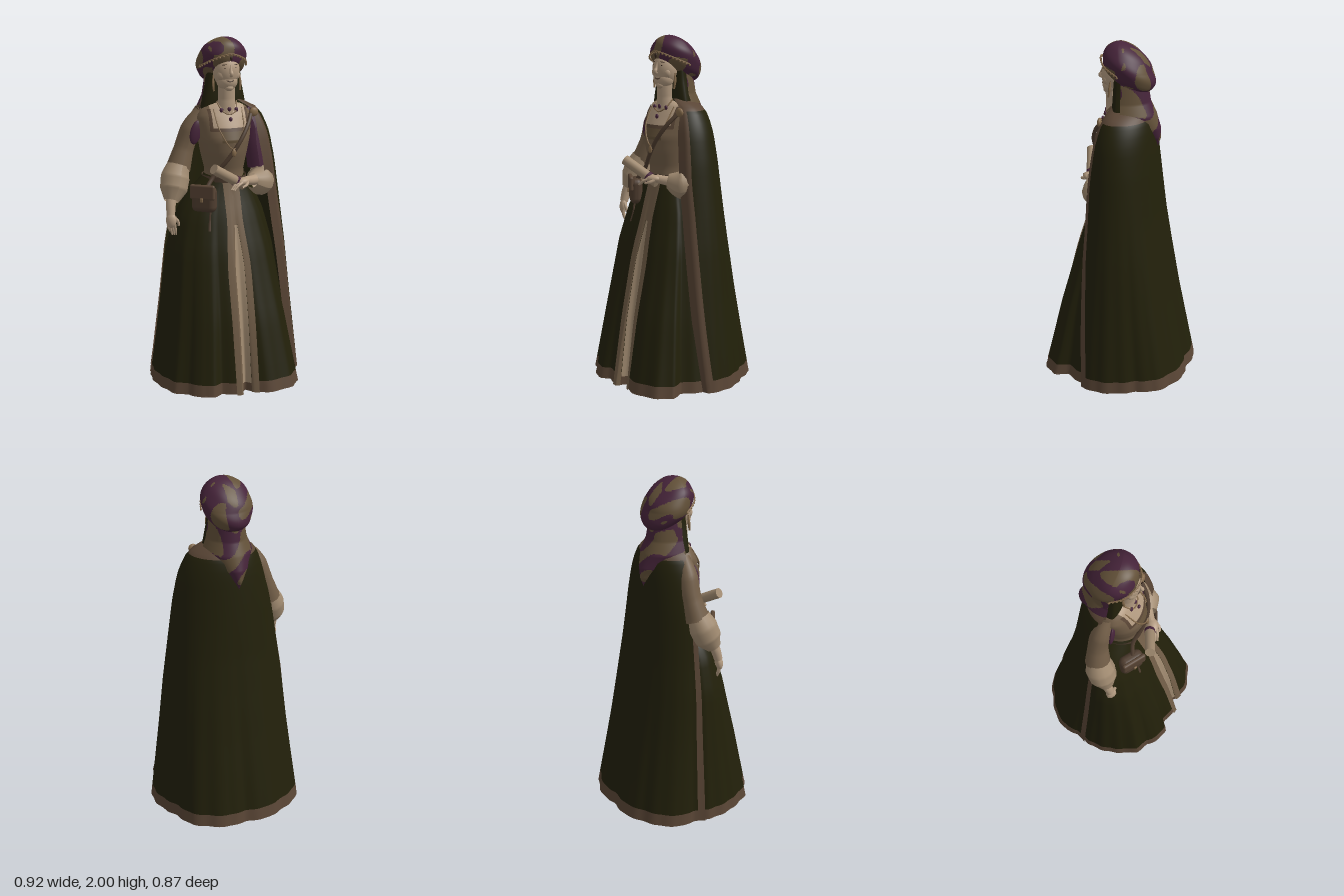
import * as THREE from 'three';
import { RoundedBoxGeometry } from 'three/addons/geometries/RoundedBoxGeometry.js';

const COLORS = {
  greenCloth: 0x22200a, brownTrim: 0x594535, bodiceCloth: 0x715d47, skin: 0xb29a80, creamLinen: 0xa08a70,
  purpleCloth: 0x46243a, oliveBrocade: 0x625038, leather: 0x4f3d2f, darkDetail: 0x33241c, gold: 0x83694a,
};
const M = {};
for (const [name, color] of Object.entries(COLORS)) {
  M[name] = new THREE.MeshStandardMaterial({ color, side: THREE.DoubleSide });
  M[name].name = name;
}
const V = (a) => new THREE.Vector3(...a);
const DEG = Math.PI / 180;
const clamp = THREE.MathUtils.clamp;
const span = (a, b, n) => Array.from({ length: n + 1 }, (_, i) => a + (b - a) * i / n);

// Row of a table, interpolated on its first column
function rowAt(table, y) {
  let i = 0;
  while (i < table.length - 2 && y > table[i + 1][0]) i++;
  const k = clamp((y - table[i][0]) / (table[i + 1][0] - table[i][0]), 0, 1);
  return table[i].map((v, j) => v + (table[i + 1][j] - v) * k);
}

// Body shell from [y, left, right, front, back] rows: (angle, height, offset) -> point; 0 is +x, 270 is the front
function shell(table, fold = () => 0) {
  const at = (deg, y, off = 0) => {
    const [, l, r, f, b] = rowAt(table, y), c = Math.cos(deg * DEG), s = -Math.sin(deg * DEG);
    const k = 1 + fold(deg, y);
    return [c * ((c > 0 ? l : r) * k + off), y, s * ((s > 0 ? f : b) * k + off)];
  };
  at.table = table;
  return at;
}

// Surface through point(u, v), coloured face by face
function grid(name, us, vs, point, mats, pick = () => 0) {
  const pos = [], faces = mats.map(() => []), w = us.length;
  for (const v of vs) for (const u of us) pos.push(...point(u, v));
  for (let j = 0; j < vs.length - 1; j++) for (let i = 0; i < w - 1; i++) {
    const a = j * w + i, d = a + w;
    faces[pick((us[i] + us[i + 1]) / 2, (vs[j] + vs[j + 1]) / 2)].push(a, a + 1, d + 1, a, d + 1, d);
  }
  const g = new THREE.BufferGeometry();
  g.setAttribute('position', new THREE.Float32BufferAttribute(pos, 3));
  g.setIndex(faces.flat());
  let start = 0;
  faces.forEach((f, i) => { g.addGroup(start, f.length, i); start += f.length; });
  g.computeVertexNormals();
  return named(new THREE.Mesh(g, mats), name);
}
const named = (o, name) => { o.name = name; return o; };

// Thin panel lying on the front of a shell between two x limits
function panel(name, at, mat, x0, x1, y0, y1, off = 0.007) {
  return grid(name, span(0, 1, 10), span(y0, y1, 16), (u, y) => {
    const [, l, r] = rowAt(at.table, y), x = x0(y) + (x1(y) - x0(y)) * u;
    return at(270 + Math.asin(clamp(x / (x > 0 ? l : r), -0.97, 0.97)) / DEG, y, off);
  }, [mat]);
}

// Tube whose radius changes along its path
function limb(name, mat, pts, radii, sides = 14) {
  const curve = new THREE.CatmullRomCurve3(pts.map(V)), n = 24;
  const g = new THREE.TubeGeometry(curve, n, 1, sides), p = g.attributes.position, v = new THREE.Vector3();
  const steps = radii.map((r, i) => [i / Math.max(1, radii.length - 1), r]);
  for (let i = 0; i <= n; i++) {
    const c = curve.getPointAt(i / n), r = steps.length > 1 ? rowAt(steps, i / n)[1] : radii[0];
    for (let j = 0; j <= sides; j++) {
      const q = i * (sides + 1) + j;
      v.fromBufferAttribute(p, q).sub(c).multiplyScalar(r).add(c);
      p.setXYZ(q, v.x, v.y, v.z);
    }
  }
  g.computeVertexNormals();
  return named(new THREE.Mesh(g, mat), name);
}

function ball(name, mat, at, scale, rot = [0, 0, 0]) {
  const m = named(new THREE.Mesh(new THREE.SphereGeometry(1, 24, 16), mat), name);
  m.position.set(...at); m.scale.set(...scale); m.rotation.set(...rot);
  return m;
}

// Uneven folds of the hem: angle and radius factor
const FOLDS = [[0, 1.01], [13, .99], [28, .975], [44, 1.06], [54, 1.05], [69, 1.05], [84, .98], [102, 1.04], [115, 1.025], [133, 1.045],
  [147, 1.015], [156, .94], [169, .98], [187, 1], [203, 1.02], [215, 1.06], [225, 1.01], [235, 1.05], [245, 1.02], [249, .92], [259, .945],
  [265, .98], [268, .86], [270, .83], [272, .86], [275, .93], [284, 1.06], [305, 1.16], [317, 1.13], [322, .96], [342, .995], [360, 1.01]];
const folds = (a, y) => Math.max(0, 1 - y / 1.2) * (rowAt(FOLDS, (a + 360) % 360)[1] - 1 + .007 * Math.sin(a * DEG * 24));

// Broad swirls of the brocade
const swirl = ([x, y, z]) => (Math.sin(32 * (x + .4 * z) + 3 * Math.sin(19 * y - 9 * z))
  + Math.sin(26 * z + 17 * y - 10 * x + 2.5 * Math.sin(27 * x + 8 * y)) > -.1 ? 1 : 0);

export function createModel() {
  const model = named(new THREE.Group(), 'robedWoman');
  const add = (...o) => model.add(...o);

  // Pleated skirt with hem band and underside
  const skirt = shell([[0, .42, .455, .42, .4], [.4, .36, .4, .34, .3], [.8, .29, .352, .24, .22],
    [1, .235, .298, .18, .17], [1.12, .18, .22, .14, .13], [1.22, .115, .115, .115, .1]], folds);
  const round = span(90, 450, 240);
  add(grid('skirt', round, [0, .035, .065, ...span(.15, 1.22, 20)], skirt, [M.greenCloth, M.brownTrim], (a, y) => (y < .065 ? 1 : 0)));
  add(grid('skirtUnderside', round, [1, .96, .6, .03], (a, k) => {
    const p = skirt(a, 0);
    return [p[0] * k, 0.004 + 0.12 * (1 - k), p[2] * k];
  }, [M.greenCloth, M.brownTrim], (a, k) => (k > .96 ? 1 : 0)));
  const open = (y) => .006 + .022 * clamp((.97 - y) / .25, 0, 1);
  add(panel('underskirtPanel', skirt, M.creamLinen, (y) => -open(y), open, .05, .97));
  add(panel('skirtTrimRight', skirt, M.bodiceCloth, (y) => -open(y) - .045, (y) => -open(y), .0, 1.2, .009));
  add(panel('skirtTrimLeft', skirt, M.bodiceCloth, open, (y) => open(y) + .036, .0, 1.2, .009));
  add(panel('skirtYoke', skirt, M.bodiceCloth, () => -.012, () => .012, .95, 1.2, .009));

  // Bodice with square neckline
  const torso = shell([[1.17, .115, .115, .125, .1], [1.25, .112, .115, .125, .1], [1.35, .132, .14, .148, .11],
    [1.43, .15, .155, .153, .115], [1.5, .16, .16, .125, .12], [1.56, .165, .165, .095, .12],
    [1.61, .125, .125, .07, .11], [1.645, .05, .05, .05, .07]]);
  add(grid('bodice', span(90, 450, 64), span(1.17, 1.645, 24), torso, [M.bodiceCloth]));
  add(panel('chest', torso, M.skin, () => -.1, () => .1, 1.495, 1.64, .005));
  add(panel('necklineTrim', torso, M.brownTrim, () => -.11, () => .11, 1.478, 1.497, .007));
  add(panel('bodiceInsert', torso, M.oliveBrocade, () => -.06, () => .06, 1.415, 1.478, .004));
  for (const s of [-1, 1]) add(panel('neckEdge', torso, M.brownTrim, () => s * .105 - .008, () => s * .105 + .008, 1.48, 1.6, .007));
  add(grid('belt', span(90, 450, 64), [1.185, 1.2, 1.215], (a, y) => torso(a, y, .014), [M.leather]));

  // Cape: its left edge turns inward at the front, its right side hangs behind the arm
  const cape = shell([[0, .455, .462, .43, .43], [.5, .4, .395, .34, .335], [.8, .37, .36, .29, .285], [1, .345, .325, .25, .255],
    [1.3, .305, .275, .21, .222], [1.45, .275, .235, .18, .205], [1.55, .235, .2, .14, .19], [1.6, .19, .165, .1, .165],
    [1.645, .1, .1, .06, .12]], folds);
  const rim = (y) => -18 - 18 * clamp(y / 1.2, 0, 1);
  const capePoint = (u, y) => {
    const p = cape(rim(y) + (166 - rim(y)) * Math.max(u, 0), y), w = Math.max(0, -u);
    return [p[0] - w * clamp((1.66 - y) / .2, .3, 1), y, p[2] + w * .15];
  };
  add(grid('cape', [-.055, -.03, -.012, 0, .014, ...span(.028, .968, 90), .985, 1], [0, .035, .07, ...span(.14, 1.56, 30), 1.58, 1.6, 1.62, 1.645], capePoint,
    [M.greenCloth, M.brownTrim], (u, y) => (u < .028 || u > .968 || y < .07 || y > 1.58 ? 1 : 0)));

  // Patterned hood hanging down the back
  const hood = shell([[1.41, .01, .01, 0, .21], [1.46, .06, .06, 0, .228], [1.52, .11, .11, 0, .226], [1.6, .15, .15, 0, .198],
    [1.67, .12, .12, 0, .165], [1.8, .1, .1, 0, .145]]);
  add(grid('hood', span(8, 172, 90), span(1.41, 1.8, 60), hood, [M.oliveBrocade, M.purpleCloth, M.brownTrim],
    (a, y) => (y < 1.6 && Math.abs(a - 90) > 62 ? 2 : swirl(hood(a, y)))));

  // Veil beside the neck
  const veil = shell([[1.57, .14, .14, .04, .12], [1.65, .125, .125, .045, .12], [1.75, .105, .105, .04, .11], [1.85, .095, .095, .035, .1]]);
  add(grid('veil', span(90, 450, 48), span(1.57, 1.85, 12), veil, [M.greenCloth]));

  // Neck, head and face
  add(limb('neck', M.skin, [[0, 1.56, .03], [0, 1.65, .04], [0, 1.75, .045]], [.065, .05, .05]));
  const head = named(new THREE.Group(), 'head');
  head.add(ball('face', M.skin, [0, 1.812, .04], [.077, .098, .077]), ball('jaw', M.skin, [0, 1.755, .055], [.061, .056, .056]),
    ball('chin', M.skin, [0, 1.72, .085], [.026, .02, .022]),
    limb('nose', M.skin, [[0, 1.85, .108], [0, 1.815, .118], [0, 1.797, .127], [0, 1.788, .112]], [.005, .008, .011, .007]),
    limb('lips', M.brownTrim, [[-.026, 1.768, .1], [-.012, 1.759, .11], [.012, 1.759, .11], [.026, 1.768, .1]], [.001, .004, .004, .001], 8));
  for (const s of [-1, 1]) {
    head.add(ball('eye', M.darkDetail, [s * .03, 1.832, .1045], [.011, .0045, .004], [0, s * .35, 0]),
      ball('brow', M.leather, [s * .032, 1.851, .1], [.016, .003, .004], [0, s * .35, -s * .12]),
      ball('cheek', M.skin, [s * .034, 1.792, .076], [.034, .034, .025]),
      limb('earring', M.gold, [[s * .079, 1.79, .045], [s * .082, 1.74, .05], [s * .079, 1.7, .055]], [.004, .008, .005], 8));
  }
  add(head);

  // Wrapped turban leaning forward, with a beaded brow chain
  const turban = (a, b) => {
    const y = Math.sin(b * DEG) * .135, r = Math.cos(b * DEG) * (1 + .015 * Math.sin(a * DEG * 3 + b * .12));
    const back = Math.max(0, Math.sin(a * DEG)) * r;
    return [Math.cos(a * DEG) * r * .143, 1.865 + y - .025 * back, -.038 + y * (y < 0 ? .5 : .34) - Math.sin(a * DEG) * r * .136];
  };
  add(grid('turban', span(90, 450, 150), span(-90, 90, 80), turban, [M.oliveBrocade, M.purpleCloth], (a, b) => swirl(turban(a, b))));
  const brow = [[-.14, 1.84, -.01], [-.105, 1.874, .066], [-.05, 1.9, .105], [0, 1.912, .12], [.05, 1.9, .105], [.105, 1.874, .066], [.14, 1.84, -.01]];
  add(limb('browChain', M.gold, brow, [.004], 8));
  new THREE.CatmullRomCurve3(brow.map(V)).getSpacedPoints(20).forEach((p) => add(ball('browBead', M.gold, [p.x, p.y - .006, p.z], [.006, .006, .006])));
  add(ball('browJewel', M.darkDetail, [0, 1.888, .121], [.007, .013, .006]));

  // Necklaces
  add(limb('necklace', M.gold, [[-.06, 1.64, .045], [-.04, 1.59, .09], [0, 1.57, .1], [.04, 1.59, .09], [.06, 1.64, .045]], [.004], 8));
  for (const [x, y, z] of [[-.045, 1.595, .085], [0, 1.6, .092], [.045, 1.595, .085], [0, 1.545, .113]])
    add(ball('necklaceGem', M.purpleCloth, [x, y, z], [.011, .013, .008]));
  add(limb('longChain', M.gold, [[-.085, 1.6, .06], [-.07, 1.48, .135], [0, 1.38, .163], [.07, 1.48, .135], [.085, 1.6, .06]], [.004], 8));
  add(ball('pendant', M.gold, [0, 1.36, .166], [.013, .022, .008]));

  // Hand with four fingers and a thumb
  const hand = (name, pos, rot, curl) => {
    const h = named(new THREE.Group(), name);
    h.add(ball('palm', M.skin, [0, -.02, 0], [.022, .045, .031]));
    for (let i = 0; i < 4; i++) {
      const z = -.021 + i * .014, l = i === 0 ? .8 : 1;
      h.add(limb('finger', M.skin, [[0, -.045, z], [curl * .3, -.075 * l, z], [curl, -.105 * l, z * .9]], [.009, .008, .005], 8));
    }
    h.add(limb('thumb', M.skin, [[.005, -.005, .02], [.015, -.03, .036], [.02, -.055, .036]], [.011, .009, .006], 8));
    h.position.set(...pos); h.rotation.set(...rot);
    return h;
  };

  // Right arm hanging free
  add(limb('rightSleeve', M.bodiceCloth, [[-.13, 1.58, -.03], [-.18, 1.5, -.04], [-.218, 1.39, -.05], [-.265, 1.25, -.04]], [.035, .056, .058, .072]));
  add(ball('rightSleeveInset', M.purpleCloth, [-.175, 1.465, .016], [.034, .07, .014], [0, 0, -.25]));
  add(limb('rightCuff', M.creamLinen, [[-.265, 1.27, -.035], [-.288, 1.21, -.02], [-.305, 1.15, 0], [-.33, 1.08, .03]], [.066, .084, .08, .042]));
  add(limb('rightForearm', M.skin, [[-.31, 1.15, .005], [-.335, 1.07, .035], [-.343, 1, .055]], [.036, .03, .024]));
  add(hand('rightHand', [-.343, .995, .058], [-.15, .9, 0], .02));

  // Left arm bent across the waist
  add(limb('leftSleeve', M.purpleCloth, [[.13, 1.58, -.01], [.17, 1.5, .005], [.178, 1.38, .025], [.195, 1.25, .035]], [.035, .053, .054, .056]));
  add(limb('leftCuff', M.creamLinen, [[.21, 1.28, .03], [.215, 1.2, .05], [.19, 1.175, .095], [.12, 1.19, .145]], [.045, .07, .085, .042]));
  add(limb('leftForearm', M.skin, [[.18, 1.185, .1], [.11, 1.19, .145], [.06, 1.2, .175]], [.034, .028, .024]));
  add(hand('leftHand', [.065, 1.2, .18], [0, .4, -1.5], .03));

  // Rolled scroll with a ribbon
  const scroll = named(new THREE.Group(), 'scroll');
  const tube = new THREE.Mesh(new THREE.CylinderGeometry(.029, .029, .24, 20), M.creamLinen);
  const ribbon = named(new THREE.Mesh(new THREE.CylinderGeometry(.031, .031, .02, 20), M.purpleCloth), 'ribbon');
  ribbon.position.y = -.06;
  scroll.add(named(tube, 'roll'), ribbon);
  scroll.position.set(-.045, 1.232, .197);
  scroll.quaternion.setFromUnitVectors(V([0, 1, 0]), V([-.17, .1, .05]).normalize());
  add(scroll);

  // Shoulder bag with strap and tassels
  const bag = named(new THREE.Group(), 'bag');
  const part = (name, mat, w, h, d, y, z) => {
    const m = named(new THREE.Mesh(new RoundedBoxGeometry(w, h, d, 3, Math.min(d, h) * .45), mat), name);
    m.position.set(0, y, z);
    bag.add(m);
  };
  part('pouch', M.leather, .145, .15, .075, 0, 0);
  part('flap', M.brownTrim, .148, .085, .025, .045, .03);
  part('clasp', M.gold, .018, .024, .01, 0, .045);
  for (const x of [-.03, .04]) bag.add(limb('tassel', M.leather, [[x, -.06, .01], [x, -.11, .015], [x, -.18, .025]], [.006, .006, .014], 8));
  bag.position.set(-.165, 1.1, .125);
  bag.rotation.y = -.7;
  add(bag);
  add(limb('bagStrap', M.leather, [[.15, 1.59, .06], [.1, 1.51, .125], [.04, 1.42, .155], [-.03, 1.32, .145], [-.1, 1.23, .115], [-.15, 1.165, .13]], [.012], 8));
  add(ball('shoulderBrooch', M.gold, [.152, 1.575, .085], [.026, .026, .014]));
  return model;
}
